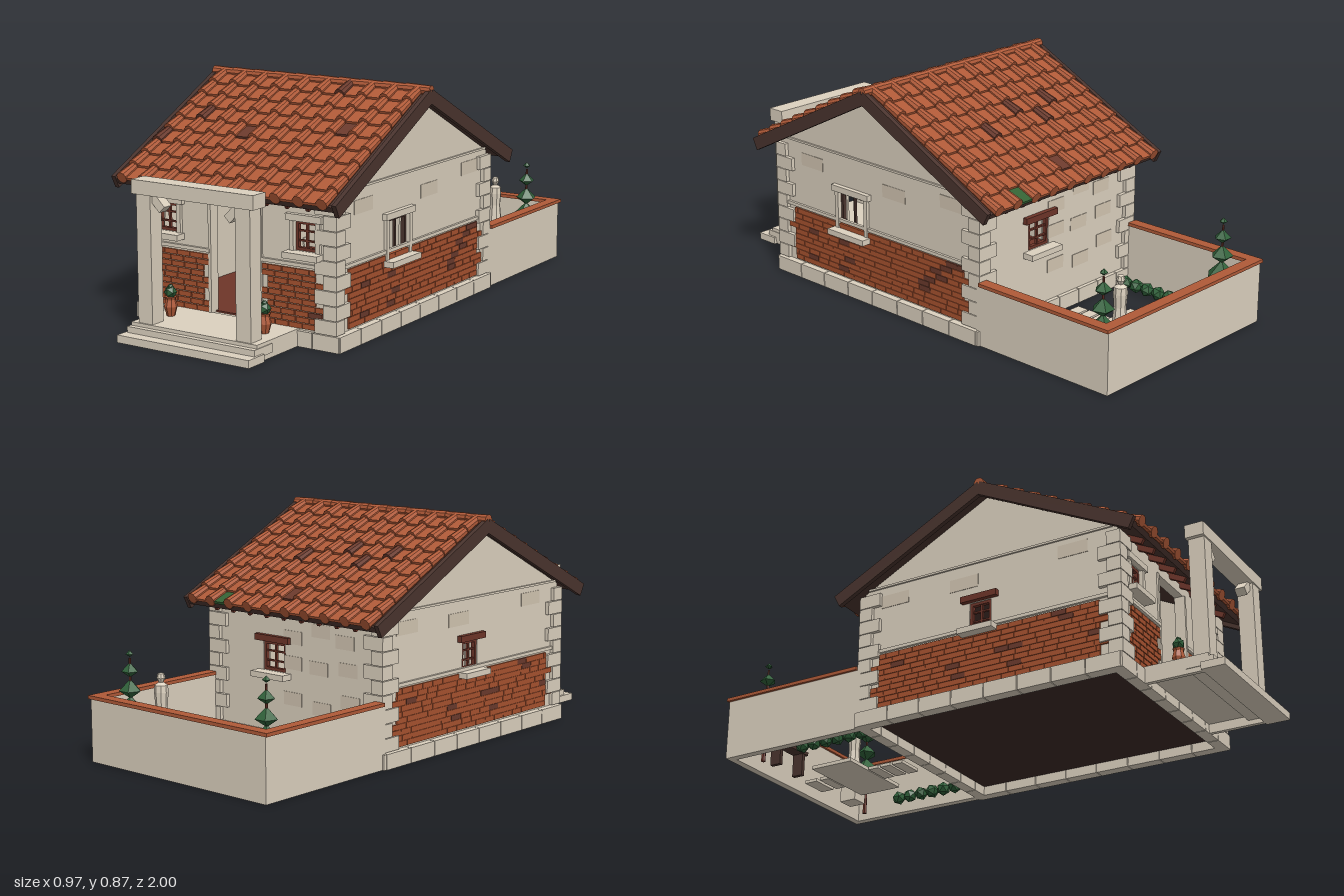
import * as THREE from 'three';
import { mergeGeometries } from 'three/addons/utils/BufferGeometryUtils.js';

const material = (name, color) => {
  const m = new THREE.MeshStandardMaterial({ color });
  m.name = name;
  return m;
};
const box = (w, h, d, x = 0, y = 0, z = 0) => new THREE.BoxGeometry(w, h, d).translate(x, y, z);
// Box given by its limits
const span = (x0, x1, y0, y1, z0, z1) =>
  box(x1 - x0, y1 - y0, z1 - z0, (x0 + x1) / 2, (y0 + y1) / 2, (z0 + z1) / 2);
const ball = (r, x, y, z) => new THREE.IcosahedronGeometry(r, 0).translate(x, y, z);
const lathe = (pts, n, x, y, z) =>
  new THREE.LatheGeometry(pts.map(p => new THREE.Vector2(...p)), n).translate(x, y, z);

// Wall outline with rectangular openings, extruded
function wall(outline, holes, depth) {
  const s = new THREE.Shape(outline.map(p => new THREE.Vector2(...p)));
  for (const [a, b, c, d] of holes)
    s.holes.push(new THREE.Path([[a, c], [a, d], [b, d], [b, c]].map(p => new THREE.Vector2(...p))));
  return new THREE.ExtrudeGeometry(s, { depth, bevelEnabled: false });
}

export function createModel() {
  const model = new THREE.Group();
  model.name = 'cottage';
  const stone = material('stone', 0xdcd1bf);
  const plaster = material('paleStone', 0xd3c6b2);
  const tile = material('terracotta', 0xb05a38);
  const brick = material('brick', 0xa8522f);
  const darkTile = material('burntClay', 0x6b3a2c);
  const redWood = material('redWood', 0x6e3529);
  const darkWood = material('darkWood', 0x4a342e);
  const floorDark = material('darkFloor', 0x3c2a27);
  const leaf = material('leaf', 0x30613a);
  const moss = material('mossTile', 0x356335);

  // Merge pieces into one flat-shaded mesh
  function part(name, mat, geoms, parent = model) {
    if (!geoms.length) return;
    const flat = geoms.map(g => {
      const n = g.index ? g.toNonIndexed() : g;
      n.deleteAttribute('uv');
      n.deleteAttribute('normal');
      return n;
    });
    const g = mergeGeometries(flat);
    g.computeVertexNormals();
    const m = new THREE.Mesh(g, mat);
    m.name = name;
    parent.add(m);
  }
  let seed = 7;
  const rand = () => (seed = (seed * 16807) % 2147483647) / 2147483647;

  // House walls with open door and windows
  const rect = [[-0.42, 0.04], [0.42, 0.04], [0.42, 0.54], [-0.42, 0.54]];
  const gable = [[-0.385, 0.04], [0.68, 0.04], [0.68, 0.545], [0.145, 0.815], [-0.385, 0.545]];
  const T = 0.035;
  part('frontWall', stone, [wall(rect, [[-0.105, 0.105, 0.06, 0.5],
    [0.255, 0.345, 0.34, 0.445], [-0.345, -0.255, 0.34, 0.445]], T).translate(0, 0, 0.68 - T)]);
  part('backWall', stone, [wall(rect, [[0.05, 0.16, 0.285, 0.395]], T).translate(0, 0, -0.385)]);
  part('rightWall', stone, [wall(gable, [[0.205, 0.345, 0.26, 0.405]], T).rotateY(-Math.PI / 2).translate(0.42, 0, 0)]);
  part('leftWall', stone, [wall(gable, [[0.075, 0.165, 0.285, 0.395]], T).rotateY(-Math.PI / 2).translate(T - 0.42, 0, 0)]);
  part('floorBase', floorDark, [span(-0.405, 0.405, 0.036, 0.06, -0.365, 0.655)]);
  part('floorPlanks', redWood, [span(-0.385, 0.385, 0.06, 0.066, -0.35, 0.66)]);

  // Plinth stones around the base
  const plinth = [];
  for (let i = 0; i < 8; i++) {
    const z = -0.39 + (i + 0.5) * 0.135, x = -0.445 + (i + 0.5) * 0.11125;
    for (const s of [-1, 1]) plinth.push(box(0.045, 0.057, 0.132, s * 0.4245, 0.0285, z));
    plinth.push(box(0.108, 0.057, 0.045, x, 0.0285, 0.6725), box(0.108, 0.057, 0.045, x, 0.0285, -0.378));
  }
  part('plinth', stone, plinth);

  // Alternating corner stones
  const quoins = [];
  for (let i = 0; i < 9; i++) for (const s of [-1, 1]) for (const f of [-1, 1]) {
    const long = (i % 2 === 0) === (f > 0);
    const w = long ? 0.09 : 0.055, d = long ? 0.055 : 0.09;
    const z = f > 0 ? 0.695 - d / 2 : -0.4 + d / 2;
    quoins.push(box(w, 0.05, d, s * (0.435 - w / 2), 0.085 + i * 0.0525, z));
  }
  part('quoins', stone, quoins);

  // String course, gable bands and door jambs
  const bands = [];
  for (const s of [-1, 1]) {
    bands.push(box(0.012, 0.013, 1.05, s * 0.424, 0.291, 0.147), box(0.014, 0.008, 1.03, s * 0.42, 0.556, 0.147));
    bands.push(span(Math.min(s * 0.11, s * 0.42), Math.max(s * 0.11, s * 0.42), 0.284, 0.297, 0.675, 0.69));
    bands.push(box(0.012, 0.44, 0.02, s * 0.111, 0.28, 0.677));
  }
  part('stringCourse', stone, bands);

  // Plaster patches
  const patches = [];
  for (let i = 0; i < 9; i++)
    patches.push(box(0.09, 0.05, 0.004, -0.27 + (i % 3) * 0.13 + rand() * 0.03, 0.16 + Math.floor(i / 3) * 0.13 + rand() * 0.06, -0.385));
  for (const s of [-1, 1]) for (const z of [-0.25, 0.05, 0.5])
    patches.push(box(0.004, 0.05, 0.12, s * 0.42, 0.46 + rand() * 0.05, z));
  part('plasterPatches', plaster, patches);

  // Brickwork, staggered rows with toothed ends
  const bricks = [[], []];
  const rowH = 0.0215;
  function brickRow(a, b, row, gap, isDark, put) {
    const L = 0.058;
    for (let u = a - (row % 2) * L / 2; u < b - 0.008; u += L) {
      const u0 = Math.max(u, a), u1 = Math.min(u + L, b) - gap;
      if (u1 - u0 > 0.006) bricks[isDark(u0, u1) ? 1 : 0].push(put(u0, u1, 0.064 + row * rowH, 0.064 + (row + 1) * rowH - gap));
    }
  }
  for (let r = 0; r < 10; r++) {
    const wide = (r >> 1) % 2 === 0;
    // Weathered bricks climb diagonally across the right side
    const crack = -0.03 - r * 0.024;
    for (const s of [-1, 1]) {
      brickRow(wide ? 0.115 : 0.14, wide ? 0.345 : 0.38, r, 0.0032, () => rand() < 0.06, (a, b, c, d) =>
        span(Math.min(s * a, s * b), Math.max(s * a, s * b), c, d, 0.672, 0.686));
      brickRow(wide ? -0.31 : -0.345, wide ? 0.605 : 0.64, r, 0.0016,
        (a, b) => rand() < 0.03 || (s > 0 && r > 2 && a < crack && b > crack), (a, b, c, d) =>
          span(s * 0.42 - 0.007, s * 0.42 + 0.007, c, d, a, b));
    }
  }
  part('bricks', brick, bricks[0]);
  part('darkBricks', darkTile, bricks[1]);
  part('brickBacking', brick, [-1, 1].map(s => box(0.008, 0.212, 0.912, s * 0.42, 0.171, 0.147)));

  // Window built facing +z, then turned to its wall
  function windowUnit(name, w, h, nx, ny, ry, x, y, z, frameMat, lintelMat, surround) {
    const g = new THREE.Group();
    g.name = name;
    const b = 0.011, bars = [];
    for (const s of [-1, 1])
      bars.push(box(b, h, 0.016, s * (w - b) / 2, 0, -0.012), box(w, b, 0.016, 0, s * (h - b) / 2, -0.012));
    for (let i = 1; i < nx; i++) bars.push(box(0.008, h, 0.01, -w / 2 + i * w / nx, 0, -0.012));
    for (let i = 1; i < ny; i++) bars.push(box(w, 0.006, 0.01, 0, -h / 2 + i * h / ny, -0.012));
    part('windowFrame', frameMat, bars, g);
    part('windowLintel', lintelMat, [box(w + 0.06, 0.024, 0.028, 0, h / 2 + 0.014, 0.005)], g);
    const sill = [box(w + 0.055, 0.022, 0.06, 0, -h / 2 - 0.012, 0.015)];
    if (surround) for (const s of [-1, 1]) sill.push(box(0.018, h, 0.024, s * (w / 2 + 0.009), 0, 0));
    part('windowSill', stone, sill, g);
    g.rotation.y = ry;
    g.position.set(x, y, z);
    model.add(g);
  }
  for (const s of [-1, 1])
    windowUnit('frontWindow', 0.09, 0.105, 2, 3, 0, s * 0.3, 0.3925, 0.68, redWood, stone, true);
  windowUnit('rightWindow', 0.14, 0.145, 2, 1, Math.PI / 2, 0.42, 0.3325, 0.275, darkWood, stone, true);
  windowUnit('leftWindow', 0.09, 0.11, 2, 3, -Math.PI / 2, -0.42, 0.34, 0.12, redWood, redWood, false);
  windowUnit('backWindow', 0.11, 0.11, 2, 3, Math.PI, 0.105, 0.34, -0.385, redWood, redWood, false);

  // Roof: two slopes of pans and barrel tiles. Lists hold column,row of odd tiles
  const A = Math.atan(0.505), len = 0.622 / Math.cos(A), rows = 9, step = len / rows;
  const odd = [
    { pan: ['3,4', '7,3'], cover: ['1,3', '0,5', '6,0'], moss: [] },
    { pan: ['4,7'], cover: ['6,4', '3,4', '7,3', '5,3'], moss: ['1,8'] },
  ];
  odd.forEach((o, k) => {
    const slope = new THREE.Group(), turn = new THREE.Group();
    turn.name = k ? 'backRoof' : 'frontRoof';
    turn.position.set(0, 0.838, 0.145);
    turn.rotation.y = k * Math.PI;
    slope.rotation.x = A;
    turn.add(slope);
    model.add(turn);
    const pans = [], dark = [], green = [];
    for (let r = 0; r < rows; r++) {
      const z = (r + 0.5) * step;
      for (let c = 0; c < 10; c++) {
        const x = -0.43 + c * 0.0956, id = c + ',' + r;
        // Lower ends ride up over the next row
        const cover = new THREE.CylinderGeometry(0.022, 0.017, step + 0.014, 10)
          .rotateX(Math.PI / 2 - 0.09).translate(x, 0.014, z);
        (o.cover.includes(id) ? dark : pans).push(cover);
        if (c === 9) continue;
        const pan = box(0.09, 0.01, step + 0.012).rotateX(-0.11).translate(x + 0.0478, 0.009, z);
        (o.moss.includes(id) ? green : o.pan.includes(id) ? dark : pans).push(pan);
      }
    }
    part('roofTiles', tile, pans, slope);
    part('burntTiles', darkTile, dark, slope);
    part('mossyTile', moss, green, slope);
    part('roofDeck', darkWood, [span(-0.47, 0.47, -0.018, 0.0, 0, len - 0.01)], slope);
    part('fascia', darkWood, [span(-0.465, 0.465, -0.018, 0.003, len - 0.015, len - 0.003)], slope);
    part('bargeBoards', darkWood, [-1, 1].map(s => box(0.018, 0.05, len + 0.002, s * 0.475, -0.01, len / 2)), slope);
    const rafters = [];
    for (let i = 0; i < 9; i++) rafters.push(box(0.014, 0.022, 0.12, -0.345 + i * 0.0863, -0.028, len - 0.075));
    part('rafterTails', redWood, rafters, slope);
  });
  const ridge = [];
  for (let i = 0; i < 10; i++)
    ridge.push(new THREE.CylinderGeometry(0.021, 0.018, 0.104, 10).rotateZ(Math.PI / 2).translate(-0.43 + i * 0.0956, 0.848, 0.145));
  part('ridgeTiles', tile, ridge);

  // Entrance steps as stacked slabs, and free-standing portal
  part('steps', stone, [span(-0.284, 0.284, 0, 0.028, 0.91, 1), span(-0.275, 0.275, 0.018, 0.05, 0.85, 0.955),
    span(-0.272, 0.272, 0.035, 0.063, 0.68, 0.935), span(-0.272, -0.255, 0, 0.035, 0.68, 0.92), span(0.255, 0.272, 0, 0.035, 0.68, 0.92)]);
  const portal = [span(-0.26, 0.26, 0.525, 0.576, 0.862, 0.934)];
  for (const s of [-1, 1]) {
    portal.push(box(0.062, 0.465, 0.062, s * 0.212, 0.295, 0.898));
    portal.push(box(0.032, 0.07, 0.04).rotateZ(-s * Math.PI / 4).translate(s * 0.164, 0.502, 0.898));
  }
  part('portal', stone, portal);

  // Potted plants by the entrance
  for (const s of [-1, 1]) {
    part('pot', tile, [lathe([[0, 0], [0.015, 0], [0.025, 0.035], [0.018, 0.06], [0.022, 0.07], [0, 0.07]], 8, s * 0.205, 0.063, 0.795)]);
    part('potPlant', leaf, [ball(0.024, s * 0.205, 0.15, 0.795), ball(0.012, s * 0.205, 0.168, 0.795)]);
  }

  // Table and bowl inside
  part('tableTop', redWood, [span(-0.035, 0.16, 0.18, 0.192, 0.2, 0.36)]);
  part('tableLegs', darkWood, [-0.022, 0.147].flatMap(x => [0.215, 0.345].map(z => box(0.012, 0.12, 0.012, x, 0.12, z))));
  part('bowl', redWood, [lathe([[0, 0], [0.012, 0], [0.026, 0.016], [0, 0.012]], 8, 0.022, 0.192, 0.28)]);

  // Garden wall and coping
  part('gardenWall', stone, [span(-0.435, -0.405, 0, 0.235, -0.995, -0.385), span(0.405, 0.435, 0, 0.235, -0.995, -0.385),
    span(-0.405, 0.405, 0, 0.235, -0.995, -0.965)]);
  part('coping', tile, [span(-0.445, -0.4, 0.233, 0.246, -1, -0.4), span(0.4, 0.445, 0.233, 0.246, -1, -0.4),
    span(-0.4, 0.4, 0.233, 0.246, -1, -0.955)]);

  // Paving, bench and statue
  const paving = [span(-0.17, 0.165, 0.004, 0.018, -0.785, -0.605)];
  for (const [a, b] of [[-0.9, -0.845], [-0.83, -0.79], [-0.6, -0.555], [-0.545, -0.5], [-0.49, -0.445]])
    paving.push(span(-0.057, 0.055, 0.004, 0.016, a, b));
  part('paving', stone, paving);
  part('bench', darkWood, [box(0.19, 0.014, 0.05, -0.215, 0.095, -0.87),
    box(0.016, 0.09, 0.045, -0.285, 0.045, -0.87), box(0.016, 0.09, 0.045, -0.145, 0.045, -0.87)]);
  part('statue', stone, [box(0.07, 0.15, 0.07, 0.21, 0.075, -0.86),
    lathe([[0, 0], [0.029, 0], [0.022, 0.07], [0.026, 0.12], [0.024, 0.145], [0.009, 0.155], [0.016, 0.17], [0.012, 0.186], [0, 0.19]], 8, 0.21, 0.15, -0.86)]);

  // Tiered topiary trees and low shrubs
  for (const s of [-1, 1]) {
    const x = s * 0.34, z = -0.89;
    part('treeTrunk', redWood, [new THREE.CylinderGeometry(0.004, 0.009, 0.38, 6).translate(x, 0.19, z)]);
    part('topiary', leaf, [[0.058, 0.19], [0.042, 0.265], [0.032, 0.335], [0.015, 0.396]].map(([r, y]) =>
      lathe([[0, -0.8 * r], [r, -0.1 * r], [0, 0.9 * r]], 5, x, y, z)));
    const shrubs = [];
    for (let i = 0; i < 6; i++)
      shrubs.push(new THREE.IcosahedronGeometry(0.028, 0).rotateY(i * 1.3).rotateX(i * 0.7).translate(s * 0.33, 0.032, -0.715 + i * 0.053));
    part('shrubs', leaf, shrubs);
  }
  return model;
}
